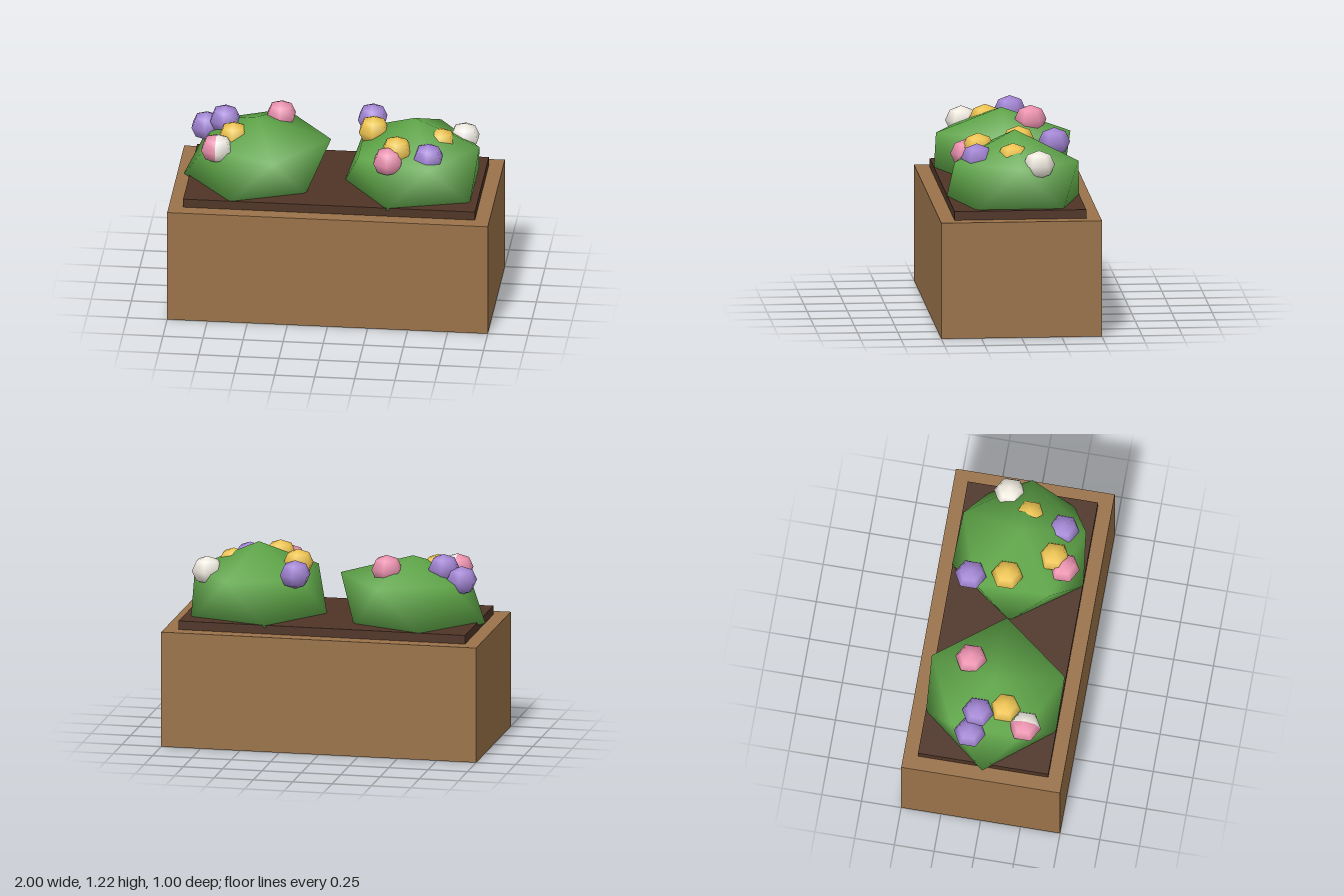
import * as THREE from 'three';

const material = (color) => new THREE.MeshStandardMaterial({ color });
const colors = {
  wood: material(0x9a7249), soil: material(0x4f3426), leaf: material(0x5fa648),
  purple: material(0xa184d2), yellow: material(0xedc350), pink: material(0xea91ae), white: material(0xf0ebe0),
};

// Faceted bush: apex, two staggered rings of five, buried bottom point
function bushGeometry(top, upperY, upperRadii, lowerY, lowerRadii) {
  const points = [0, top, 0];
  const ring = (radii, y, turn) => radii.forEach((r, i) => {
    const a = (i + turn) * Math.PI * 2 / 5;
    points.push(Math.cos(a) * r, y, Math.sin(a) * r);
  });
  ring(upperRadii, upperY, 0);
  ring(lowerRadii, lowerY, 0.5);
  points.push(0, 0.6, 0);
  const faces = [];
  for (let i = 0; i < 5; i++) {
    const j = (i + 1) % 5;
    const u = 1 + i, u2 = 1 + j, l = 6 + i, l2 = 6 + j;
    faces.push(0, u2, u, u, u2, l, u2, l2, l, l, l2, 11);
  }
  const g = new THREE.BufferGeometry();
  g.setAttribute('position', new THREE.Float32BufferAttribute(points, 3));
  g.setIndex(faces);
  g.computeVertexNormals();
  return g;
}

export function createModel() {
  const model = new THREE.Group();
  const add = (name, geometry, mat, x, y, z) => {
    const mesh = new THREE.Mesh(geometry, mat);
    mesh.name = name;
    mesh.position.set(x, y, z);
    model.add(mesh);
  };

  // Planter and soil slab
  add('planterBox', new THREE.BoxGeometry(2, 0.73, 1), colors.wood, 0, 0.365, 0);
  add('soil', new THREE.BoxGeometry(1.82, 0.055, 0.82), colors.soil, 0, 0.7575, 0);

  // Bushes
  add('rightBush', bushGeometry(1.18, 1.05, [0.46, 0.44, 0.37, 0.37, 0.44], 0.77, [0.4, 0.43, 0.46, 0.43, 0.4]),
    colors.leaf, -0.49, 0, 0);
  add('leftBush', bushGeometry(1.22, 1.04, [0.405, 0.405, 0.405, 0.405, 0.405], 0.77, [0.46, 0.435, 0.435, 0.435, 0.46]),
    colors.leaf, 0.49, 0, 0);

  // Low-sided flower heads: colour, x, y, z
  const flower = new THREE.SphereGeometry(0.1, 6, 4);
  flower.rotateY(Math.PI / 6);
  flower.scale(1, 0.9, 1);
  const flowers = [
    ['purple', -0.82, 1.06, -0.10], ['purple', -0.70, 1.125, -0.07], ['yellow', -0.63, 1.085, 0.09],
    ['pink', -0.36, 1.125, -0.17], ['pink', -0.725, 1.06, 0.23], ['white', -0.717, 1.06, 0.23],
    ['purple', 0.20, 1.085, -0.27], ['yellow', 0.23, 1.105, -0.045], ['yellow', 0.40, 1.095, 0.22],
    ['pink', 0.355, 1.05, 0.29], ['purple', 0.60, 1.065, 0.245], ['yellow', 0.655, 1.075, 0.025],
    ['white', 0.79, 1.05, -0.125],
  ];
  for (const [color, x, y, z] of flowers) add(color + 'Flower', flower, colors[color], x, y, z);

  return model;
}
